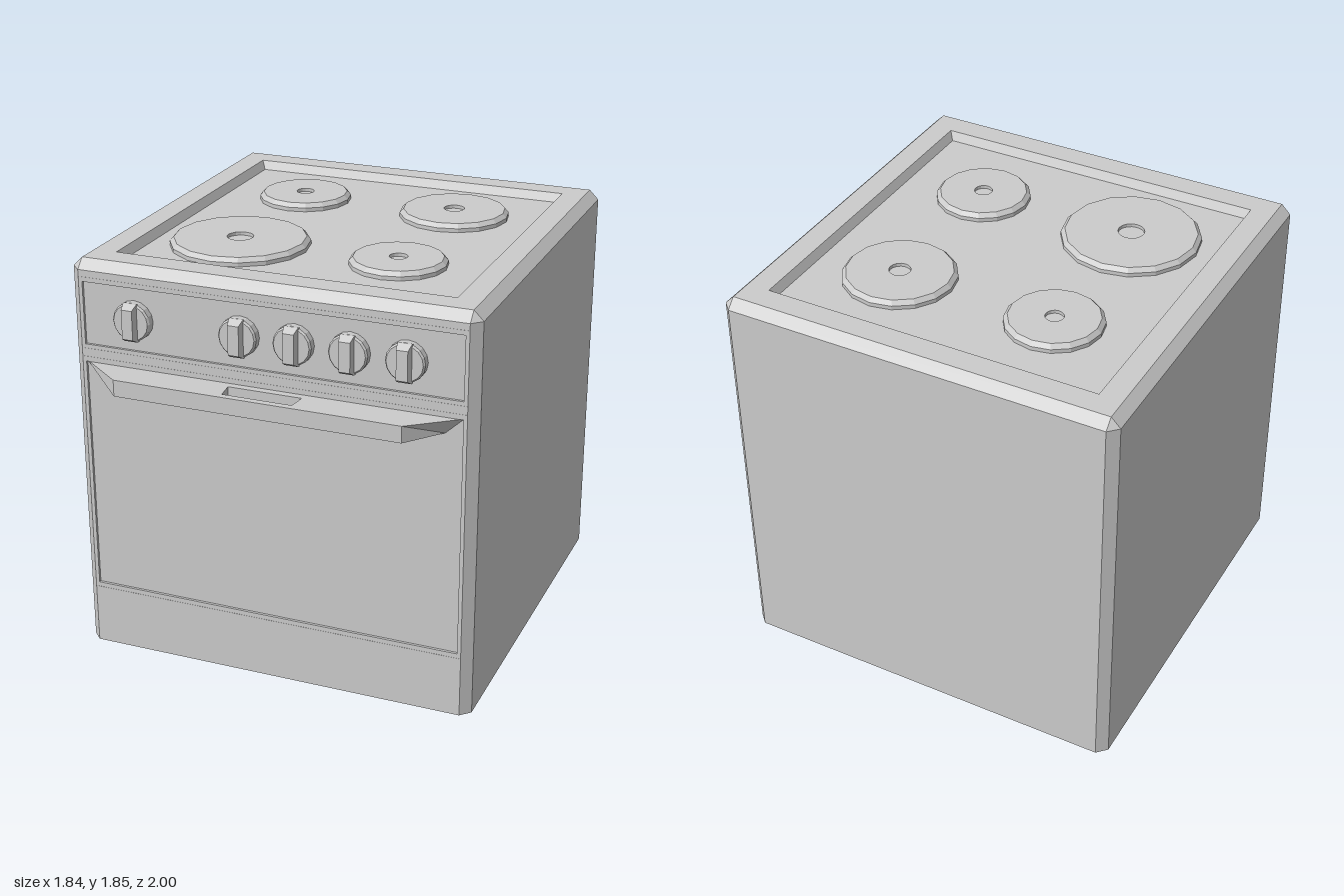
import * as THREE from 'three';

const material = new THREE.MeshStandardMaterial({ color: 0xcccccc, flatShading: true });

function part(name, geometry, parent) {
  const mesh = new THREE.Mesh(geometry, material);
  mesh.name = name;
  parent.add(mesh);
  return mesh;
}

// Joins cross-sections (counter-clockwise about +z), with optional end caps
function loft(rings, { startCap = false, endCap = true, skip = () => false } = {}) {
  const pos = [];
  const tri = (...pts) => pts.forEach(p => pos.push(...p));
  for (let r = 0; r < rings.length - 1; r++) {
    const a = rings[r], b = rings[r + 1];
    for (let i = 0; i < a.length; i++) {
      if (skip(r, i)) continue;
      const j = (i + 1) % a.length;
      tri(a[i], a[j], b[j]);
      tri(a[i], b[j], b[i]);
    }
  }
  const first = rings[0], last = rings[rings.length - 1];
  for (let i = 1; i < first.length - 1; i++) {
    if (startCap) tri(first[0], first[i + 1], first[i]);
    if (endCap) tri(last[0], last[i], last[i + 1]);
  }
  const g = new THREE.BufferGeometry();
  g.setAttribute('position', new THREE.Float32BufferAttribute(pos, 3));
  g.computeVertexNormals();
  return g;
}

const rect = ([x0, x1, y0, y1], z) => [[x0, y0, z], [x1, y0, z], [x1, y1, z], [x0, y1, z]];
const inset = ([x0, x1, y0, y1], d) => [x0 + d, x1 - d, y0 + d, y1 - d];

// Flat plate with rectangular openings, facing +z
function plate(outer, holes) {
  const toPoints = r => rect(r, 0).map(([x, y]) => new THREE.Vector2(x, y));
  const shape = new THREE.Shape(toPoints(outer));
  holes.forEach(h => shape.holes.push(new THREE.Path(toPoints(h).reverse())));
  return new THREE.ShapeGeometry(shape);
}

export function createModel() {
  const stove = new THREE.Group();
  stove.name = 'stove';

  const W = 0.92, FRONT = 0.85, BACK = -1, TOP = 1.85, C = 0.043;
  const x = W - C, yf = -FRONT, yb = -BACK;

  // Cabinet: chamfered corners and top edge, open where the front and hob fit
  const octagon = z => [
    [-x, yf, z], [x, yf, z], [W, yf + C, z], [W, yb - C, z],
    [x, yb, z], [-x, yb, z], [-W, yb - C, z], [-W, yf + C, z]];
  const f = yf + C, b = yb - C;
  const topRing = [[-x, f], [x, f], [x, f], [x, b], [x, b], [-x, b], [-x, b], [-x, f]]
    .map(([px, py]) => [px, py, TOP]);
  part('cabinet', loft([octagon(0), octagon(TOP - C), topRing], {
    startCap: true, endCap: false, skip: (r, i) => r === 0 && i === 0
  }).rotateX(-Math.PI / 2), stove);

  // Front frame with recessed control panel and oven door
  const panel = [-0.86, 0.86, 1.47, 1.755];
  const door = [-0.86, 0.86, 0.303, 1.39];
  const RECESS = 0.012;
  part('frontFrame', plate([-x, x, 0, TOP - C], [panel, door]).translate(0, 0, FRONT), stove);
  for (const [name, r] of [['controlPanel', panel], ['ovenDoor', door]])
    part(name, loft([rect(r, FRONT), rect(r, FRONT - RECESS)]), stove);

  // Cooktop rim and sunken tray with sloped walls
  const tray = [-0.772, 0.772, -0.695, 0.848];
  const DEPTH = 0.04;
  part('cooktopRim', plate([-x, x, f, b], [tray]).rotateX(-Math.PI / 2).translate(0, TOP, 0), stove);
  part('cooktopTray', loft([rect(tray, TOP), rect(inset(tray, 0.02), TOP - DEPTH)])
    .rotateX(-Math.PI / 2), stove);

  // Hot plates with a bevelled edge and a central dip
  for (const [px, pz, r] of [
    [-0.373, -0.45, 0.215], [0.37, -0.45, 0.252], [-0.373, 0.29, 0.312], [0.37, 0.29, 0.215]]) {
    const dip = r * 0.19;
    const profile = [[r, 0], [r, 0.018], [r - 0.018, 0.037], [dip, 0.037], [dip, 0.022], [0, 0.022]]
      .map(p => new THREE.Vector2(...p));
    part('hotPlate', new THREE.LatheGeometry(profile, 16), stove)
      .position.set(px, TOP - DEPTH, pz);
  }

  // Control knobs: thin disc with a tapered grip bar
  for (const kx of [-0.62, -0.127, 0.12, 0.367, 0.615]) {
    const knob = new THREE.Group();
    knob.name = 'knob';
    knob.position.set(kx, 1.61, FRONT - RECESS);
    const disc = [[0.087, 0], [0.087, 0.032], [0.08, 0.041], [0, 0.041]]
      .map(p => new THREE.Vector2(...p));
    part('knobDisc', new THREE.LatheGeometry(disc, 16).rotateX(Math.PI / 2), knob);
    part('knobGrip', loft([
      rect([-0.033, 0.033, -0.085, 0.085], 0.03),
      rect([-0.031, 0.031, -0.085, 0.085], 0.042),
      rect([-0.025, 0.025, -0.066, 0.066], 0.074)]), knob);
    stove.add(knob);
  }

  // Door handle: tapered shelf with a grip slot, its back corners drawn in underneath
  const vec = pts => pts.map(p => new THREE.Vector2(...p));
  const shelf = new THREE.Shape(vec([[-0.86, FRONT - RECESS], [0.86, FRONT - RECESS], [0.65, 1], [-0.65, 1]]));
  shelf.holes.push(new THREE.Path(vec([[-0.168, 0.885], [-0.158, 0.968], [0.158, 0.968], [0.168, 0.885]])));
  const handle = new THREE.ExtrudeGeometry(shelf, { depth: 0.075, bevelEnabled: false });
  handle.rotateX(Math.PI / 2).translate(0, 1.39, 0);
  const p = handle.attributes.position;
  for (let i = 0; i < p.count; i++)
    if (p.getY(i) < 1.35 && Math.abs(p.getX(i)) > 0.7) p.setX(i, Math.sign(p.getX(i)) * 0.78);
  handle.computeVertexNormals();
  part('doorHandle', handle, stove);

  // Seams around the control panel and door
  const seam = (cx, cy, w, h) => part('seam', new THREE.BoxGeometry(w, h, 0.002), stove)
    .position.set(cx, cy, FRONT);
  for (const y of [1.775, 1.45, 1.412, 0.28]) seam(0, y, 2 * x, 0.003);

  return stove;
}
